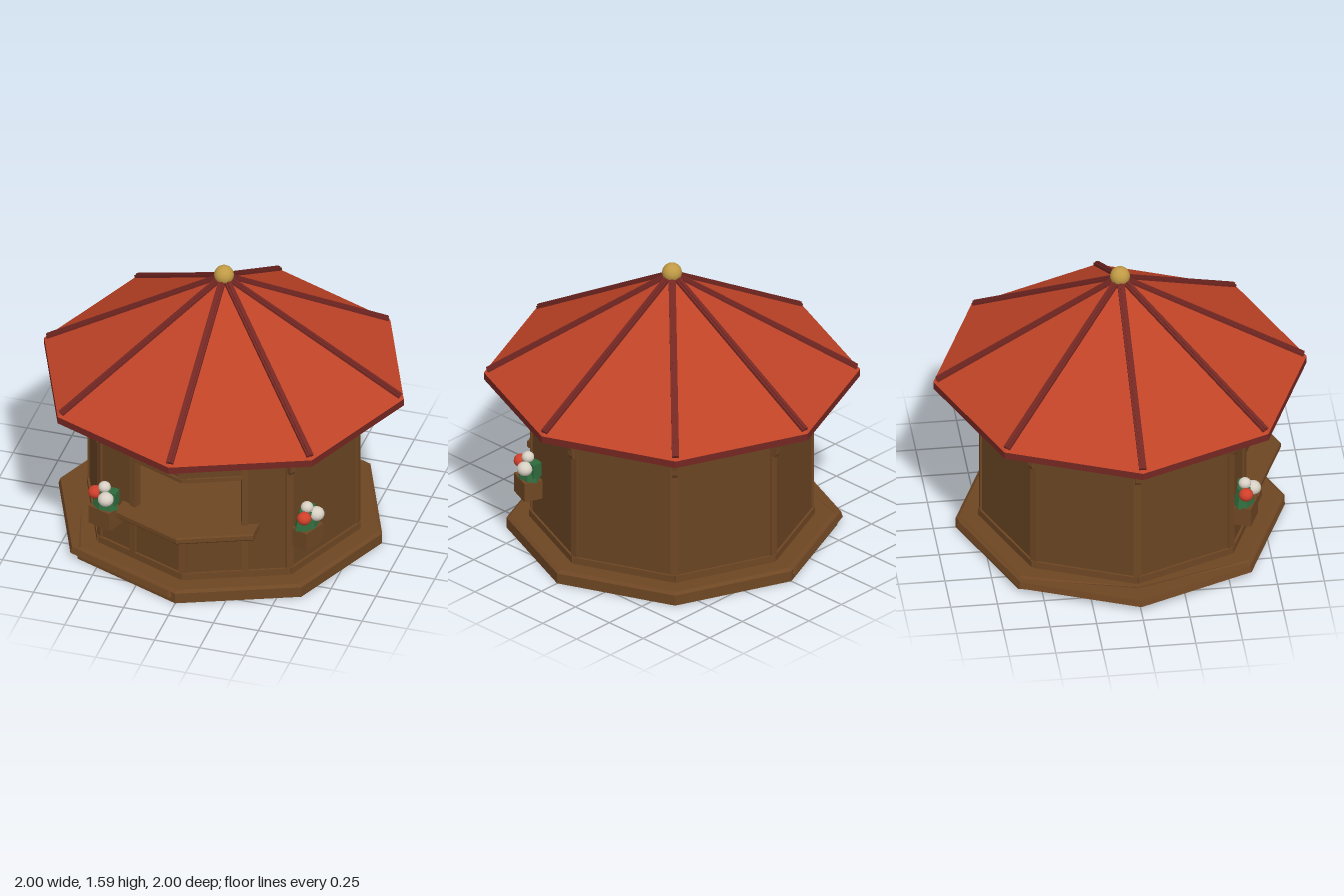
import * as THREE from 'three';

const mat = (name, color, side = THREE.FrontSide) => {
  const m = new THREE.MeshStandardMaterial({ color, side });
  m.name = name;
  return m;
};

export function createModel() {
  const wood = mat('wood', 0x6e4623), wallWood = mat('wallWood', 0x694422);
  const roofRed = mat('roofRed', 0xbf4326), darkRed = mat('darkRed', 0x742722);
  const gold = mat('gold', 0xc09a45), green = mat('leafGreen', 0x2f6a3c);
  const white = mat('petalWhite', 0xd8d0c4), red = mat('petalRed', 0xd0402a);

  const model = new THREE.Group();
  const STEP = Math.PI / 4;
  const R = 0.75;                                  // wall corner radius
  const APO = R * Math.cos(STEP / 2);              // distance to the wall faces
  const HALF = R * Math.sin(STEP / 2);             // half a wall panel
  const FLOOR = 0.07, EAVE = 0.905;

  const add = (parent, name, geo, m, x = 0, y = 0, z = 0) => {
    const mesh = new THREE.Mesh(geo, m);
    mesh.name = name;
    mesh.position.set(x, y, z);
    parent.add(mesh);
    return mesh;
  };
  const box = (w, h, d) => new THREE.BoxGeometry(w, h, d);
  // group turned so that its local +z points out at the given angle
  const spoke = (name, angle) => {
    const g = new THREE.Group();
    g.name = name;
    g.rotation.y = angle;
    model.add(g);
    return g;
  };
  // eight-sided prism or pyramid with corners on the axes
  const octagon = (rTop, rBottom, y0, y1, open = false) => {
    const g = new THREE.CylinderGeometry(rTop, rBottom, y1 - y0, 8, 1, open).toNonIndexed();
    g.translate(0, (y0 + y1) / 2, 0);
    g.computeVertexNormals();
    return g;
  };

  // Base: the left-hand corner is pulled in and a thin slab sticks out there
  const pullIn = (g) => {
    const p = g.attributes.position;
    for (let i = 0; i < p.count; i++) if (p.getX(i) < -0.8) p.setX(i, -0.79);
    g.computeVertexNormals();
    return g;
  };
  add(model, 'base', pullIn(octagon(0.88, 0.88, 0, 0.06)), wood);
  add(model, 'baseBevel', pullIn(octagon(0.86, 0.88, 0.06, 0.073)), wood);
  add(model, 'baseSlab', octagon(0.87, 0.88, 0.03, 0.064), wood, -0.04);

  // Roof: pyramid, rim, underside, hip ribs and finial
  add(model, 'roof', octagon(0.004, 1, 0.94, 1.53, true), roofRed);
  add(model, 'roofRim', octagon(1, 1, EAVE - 0.005, 0.94, true), darkRed);
  const soffit = new THREE.CircleGeometry(1, 8);
  soffit.rotateX(Math.PI / 2);
  add(model, 'roofUnderside', soffit, wood, 0, EAVE - 0.005, 0);
  const slope = Math.atan2(0.59, 1);
  for (let i = 0; i < 8; i++) {
    const g = spoke('roofRib', i * STEP);
    const cap = add(g, 'ribBase', box(0.038, 0.016, 1.13), darkRed, 0, 1.243, 0.495);
    const ridge = add(g, 'ribRidge', box(0.016, 0.026, 1.13), darkRed, 0, 1.245, 0.495);
    cap.rotation.x = ridge.rotation.x = slope;
  }
  add(model, 'finial', new THREE.SphereGeometry(0.053, 24, 16), gold, 0, 1.538, 0);

  // Walls: six plain panels and two front panels that share the serving opening
  const OPEN = 0.335, SILL = 0.34, LINTEL = 0.7;
  for (let i = 0; i < 8; i++) {
    const g = spoke('wallPanel', (i + 0.5) * STEP);
    const s = i === 0 ? 1 : i === 7 ? -1 : 0;
    if (s) {
      const e = -HALF * s, o = (-HALF + OPEN) * s, f = HALF * s;
      const shape = new THREE.Shape([[e, FLOOR], [f, FLOOR], [f, EAVE], [e, EAVE],
        [e, LINTEL], [o, LINTEL], [o, SILL], [e, SILL]].map((p) => new THREE.Vector2(...p)));
      const geo = new THREE.ExtrudeGeometry(shape, { depth: 0.025, bevelEnabled: false });
      add(g, 'frontWall', geo, wallWood, 0, 0, APO - 0.025);
      add(g, 'jamb', box(0.036, EAVE - FLOOR, 0.045), wood, o, (EAVE + FLOOR) / 2, APO - 0.01);
      add(g, 'lintel', box(OPEN, 0.022, 0.045), wood, (e + o) / 2, LINTEL, APO - 0.01);
      add(g, 'sill', box(OPEN, 0.03, 0.045), wood, (e + o) / 2, SILL - 0.01, APO - 0.01);
    } else {
      add(g, 'wall', box(HALF * 2, EAVE - FLOOR, 0.025), wallWood, 0, (EAVE + FLOOR) / 2, APO - 0.0125);
    }
    add(g, 'bottomRail', box(HALF * 2, 0.045, 0.03), wood, 0, 0.09, APO - 0.003);
  }

  // Corner posts, with curved brackets on all but the front corner
  const arm = new THREE.Shape();
  arm.moveTo(0.74, EAVE);
  arm.lineTo(0.905, EAVE);
  arm.lineTo(0.905, 0.885);
  arm.lineTo(0.885, 0.882);
  arm.quadraticCurveTo(0.785, 0.86, 0.782, 0.735);
  arm.lineTo(0.772, 0.715);
  arm.lineTo(0.74, 0.715);
  const armGeo = new THREE.ExtrudeGeometry(arm, { depth: 0.03, bevelEnabled: false, curveSegments: 8 });
  armGeo.translate(0, 0, -0.015);
  armGeo.rotateY(-Math.PI / 2);
  for (let i = 0; i < 8; i++) {
    const g = spoke('corner', i * STEP);
    const spans = i === 0 ? [[FLOOR, SILL], [LINTEL, EAVE]] : [[FLOOR, EAVE]];
    for (const [a, b] of spans) add(g, 'cornerPost', box(0.042, b - a, 0.04), wood, 0, (a + b) / 2, R - 0.017);
    if (i) add(g, 'bracket', armGeo, wood);
  }

  // Counter: a profile swept across the front and folded at the middle corner
  const fold = (points, half) => {
    const shape = new THREE.Shape(points.map((p) => new THREE.Vector2(...p)));
    const g = new THREE.ExtrudeGeometry(shape, { depth: half * 2, steps: 2, bevelEnabled: false });
    g.translate(0, 0, -half);
    g.rotateY(-Math.PI / 2);                       // profile x becomes z
    const p = g.attributes.position;
    for (let i = 0; i < p.count; i++) {
      p.setZ(i, p.getZ(i) - Math.abs(p.getX(i)) * Math.tan(STEP / 2));
    }
    g.computeVertexNormals();
    return g;
  };
  add(model, 'counterTop', fold([[0.7, 0.36], [0.855, 0.36], [0.862, 0.368], [0.862, 0.392],
    [0.855, 0.4], [0.7, 0.4]], 0.38), wood);
  add(model, 'counterMoulding', fold([[0.72, 0.305], [0.76, 0.305], [0.765, 0.33], [0.79, 0.342],
    [0.845, 0.36], [0.72, 0.36]], 0.36), wood);

  // Flower boxes on the two sides of the front
  const blooms = [
    [-0.05, 0.437, 0.02, 0.039, red],
    [0.035, 0.432, 0.035, 0.043, white],
    [-0.002, 0.478, 0.0, 0.034, white],
  ];
  for (const angle of [-STEP / 2, STEP * 1.5]) {
    const side = spoke('flowerBox', angle);
    const g = new THREE.Group();
    g.name = 'planter';
    // both boxes sit close to the corner on their own panel
    g.position.set(-0.205, 0, APO + 0.052);
    side.add(g);
    add(g, 'planterBox', box(0.142, 0.11, 0.104), wood, 0, 0.305, 0);
    const leaves = new THREE.CylinderGeometry(0.05, 0.08, 0.1, 7).toNonIndexed();
    leaves.computeVertexNormals();
    add(g, 'leaves', leaves, green, 0, 0.405, -0.005).scale.z = 0.72;
    add(g, 'leafTuft', box(0.06, 0.08, 0.06), green, 0.035, 0.42, -0.02).rotation.y = 0.3;
    for (const [x, y, z, r, m] of blooms) {
      add(g, 'bloom', new THREE.SphereGeometry(r, 14, 10), m, x, y, z).scale.y = 0.9;
    }
  }

  return model;
}
